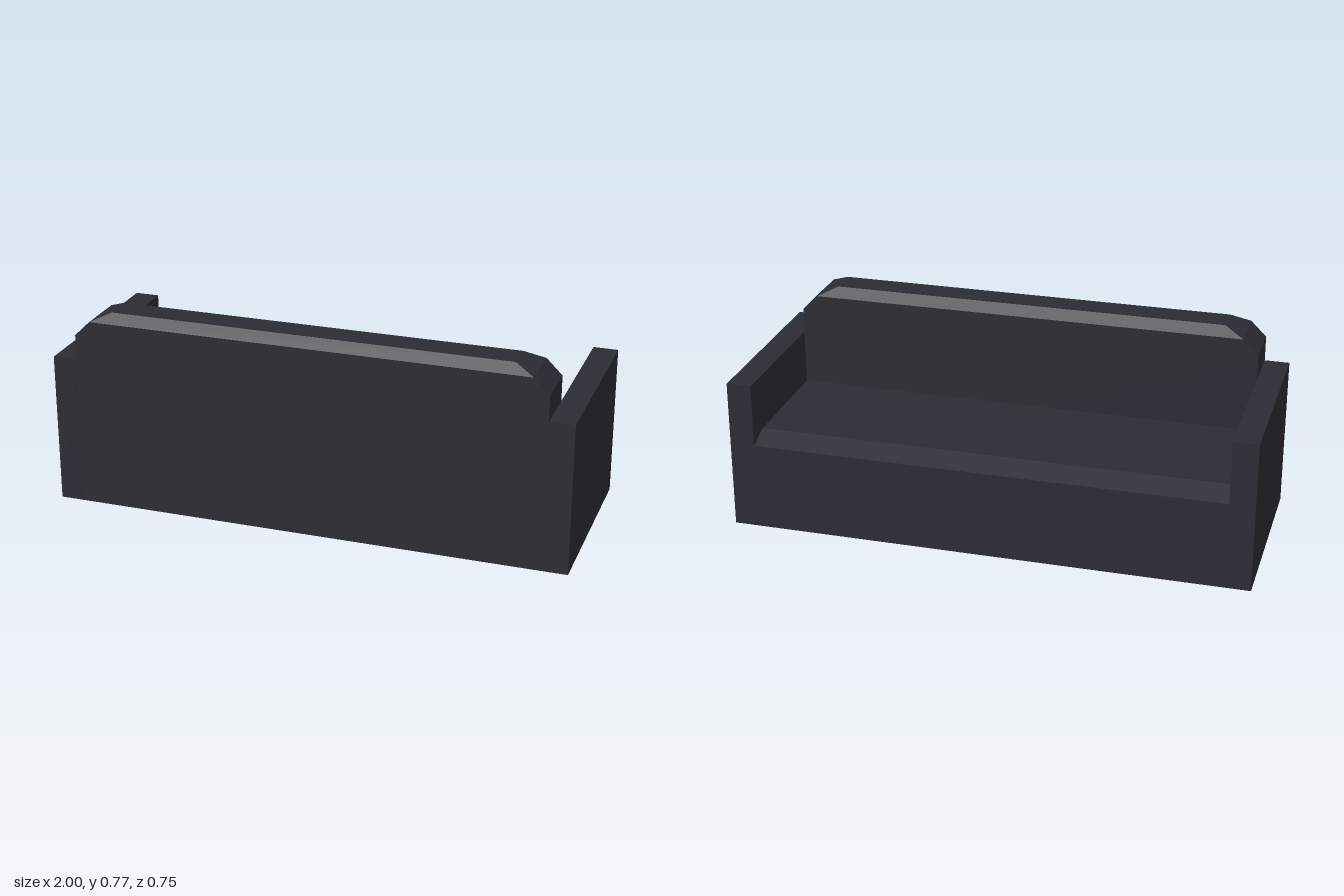
import * as THREE from 'three';

const WIDTH = 2, DEPTH = 0.755, ARM_HEIGHT = 0.585, ARM_WIDTH = 0.095;
const INNER = WIDTH / 2 - ARM_WIDTH; // half the width between the arms
const HALF_DEPTH = DEPTH / 2;
const BACK_START = 0.183; // inner face of the backrest

// Stack of rectangles [y, halfWidth, zMin, zMax] joined into a closed flat-faced solid
function loft(rings) {
  const corners = rings.map(([y, w, z0, z1]) => [[-w, y, z1], [w, y, z1], [w, y, z0], [-w, y, z0]]);
  const positions = [];
  const quad = (a, b, c, d) => positions.push(...a, ...b, ...c, ...a, ...c, ...d);
  for (let r = 0; r < corners.length - 1; r++) {
    const low = corners[r], high = corners[r + 1];
    for (let i = 0; i < 4; i++) {
      const j = (i + 1) % 4;
      quad(low[i], low[j], high[j], high[i]);
    }
  }
  quad(...corners[corners.length - 1]);
  quad(...[...corners[0]].reverse());
  const geometry = new THREE.BufferGeometry();
  geometry.setAttribute('position', new THREE.Float32BufferAttribute(positions, 3));
  geometry.computeVertexNormals();
  return geometry;
}

export function createModel() {
  const sofa = new THREE.Group();
  sofa.name = 'sofa';
  const upholstery = new THREE.MeshStandardMaterial({ color: 0x2c2c35 });
  upholstery.name = 'darkUpholstery';

  const add = (name, geometry) => {
    const mesh = new THREE.Mesh(geometry, upholstery);
    mesh.name = name;
    sofa.add(mesh);
    return mesh;
  };

  // Slab arms, mirrored
  for (const [name, side] of [['leftArm', 1], ['rightArm', -1]]) {
    add(name, new THREE.BoxGeometry(ARM_WIDTH, ARM_HEIGHT, DEPTH))
      .position.set(side * (INNER + ARM_WIDTH / 2), ARM_HEIGHT / 2, 0);
  }

  // Seat block with a sloped edge on its open side; shape x becomes -z
  const profile = new THREE.Shape([
    [-BACK_START, 0], [HALF_DEPTH, 0], [HALF_DEPTH, 0.34], [0.285, 0.373], [-BACK_START, 0.373],
  ].map(([x, y]) => new THREE.Vector2(x, y)));
  const seat = new THREE.ExtrudeGeometry(profile, { depth: INNER * 2, bevelEnabled: false });
  seat.translate(0, 0, -INNER).rotateY(Math.PI / 2);
  add('seat', seat);

  // Backrest with cut corners and a bevelled top
  add('backrest', loft([
    [0, INNER, BACK_START, HALF_DEPTH],
    [0.683, INNER, BACK_START, HALF_DEPTH],
    [0.742, 0.845, BACK_START, HALF_DEPTH],
    [0.775, 0.77, 0.225, 0.337],
  ]));

  return sofa;
}
